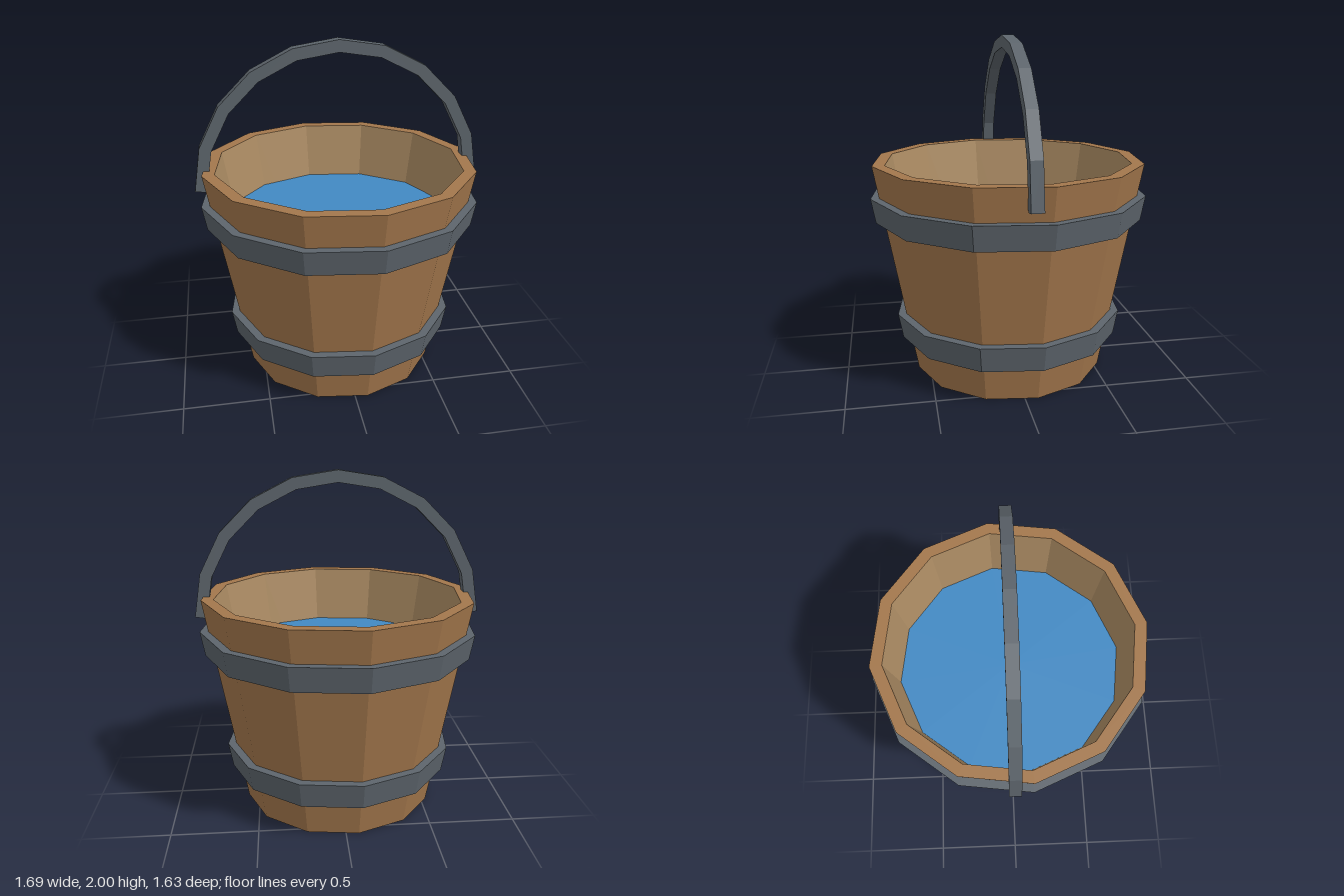
import * as THREE from 'three';

const SIDES = 12;
const TURN = THREE.MathUtils.degToRad(7.5);

const flat = (name, color) => {
  const m = new THREE.MeshStandardMaterial({ color, flatShading: true });
  m.name = name;
  return m;
};

// Faceted ring turned from a [radius, height] profile
function turned(name, profile, material) {
  const points = profile.map(([r, y]) => new THREE.Vector2(r, y));
  const mesh = new THREE.Mesh(new THREE.LatheGeometry(points, SIDES, TURN), material);
  mesh.name = name;
  return mesh;
}

// Outer radius of the tapered wall at a given height
const wallRadius = (y) => 0.575 + (0.807 - 0.575) * (y / 1.28);

export function createModel() {
  const wood = flat('wood', 0xa3774c);
  const innerWood = flat('inner wood', 0xab8b63);
  const iron = flat('iron', 0x5d656c);
  const water = flat('water blue', 0x4289c3);

  const bucket = new THREE.Group();
  bucket.name = 'bucket';

  // Staved wall with base and rim, its lining, and the water
  bucket.add(turned('wall', [[0, 0], [0.575, 0], [0.807, 1.28], [0.734, 1.28]], wood));
  bucket.add(turned('lining', [[0.734, 1.28], [0.53, 0.15], [0, 0.15]], innerWood));
  bucket.add(turned('water', [[0.674, 0.945], [0, 0.945]], water));

  // Iron hoops following the taper
  for (const [name, y0, y1] of [['lowerHoop', 0.215, 0.365], ['upperHoop', 0.945, 1.09]]) {
    const r0 = wallRadius(y0), r1 = wallRadius(y1);
    bucket.add(turned(name, [
      [r0 - 0.01, y0], [r0 + 0.05, y0], [r1 + 0.05, y1], [r1 - 0.01, y1],
    ], iron));
  }

  // Arched handle: ten straight segments, ends cut square to the last segment
  const steps = 10, pivotY = 1.155, radius = 0.81, half = 0.035;
  const edge = (offset) => Array.from({ length: steps + 1 }, (_, i) => {
    const a = (Math.PI * i) / steps;
    const tilt = i === 0 ? Math.PI / 20 : i === steps ? Math.PI - Math.PI / 20 : a;
    return new THREE.Vector2(
      radius * Math.cos(a) + offset * Math.cos(tilt),
      pivotY + radius * Math.sin(a) + offset * Math.sin(tilt));
  });
  const outline = new THREE.Shape([...edge(half), ...edge(-half).reverse()]);
  const arch = new THREE.ExtrudeGeometry(outline, { depth: half * 2, bevelEnabled: false });
  arch.translate(0, 0, -half);
  const handle = new THREE.Mesh(arch, iron);
  handle.name = 'handle';
  bucket.add(handle);

  return bucket;
}
